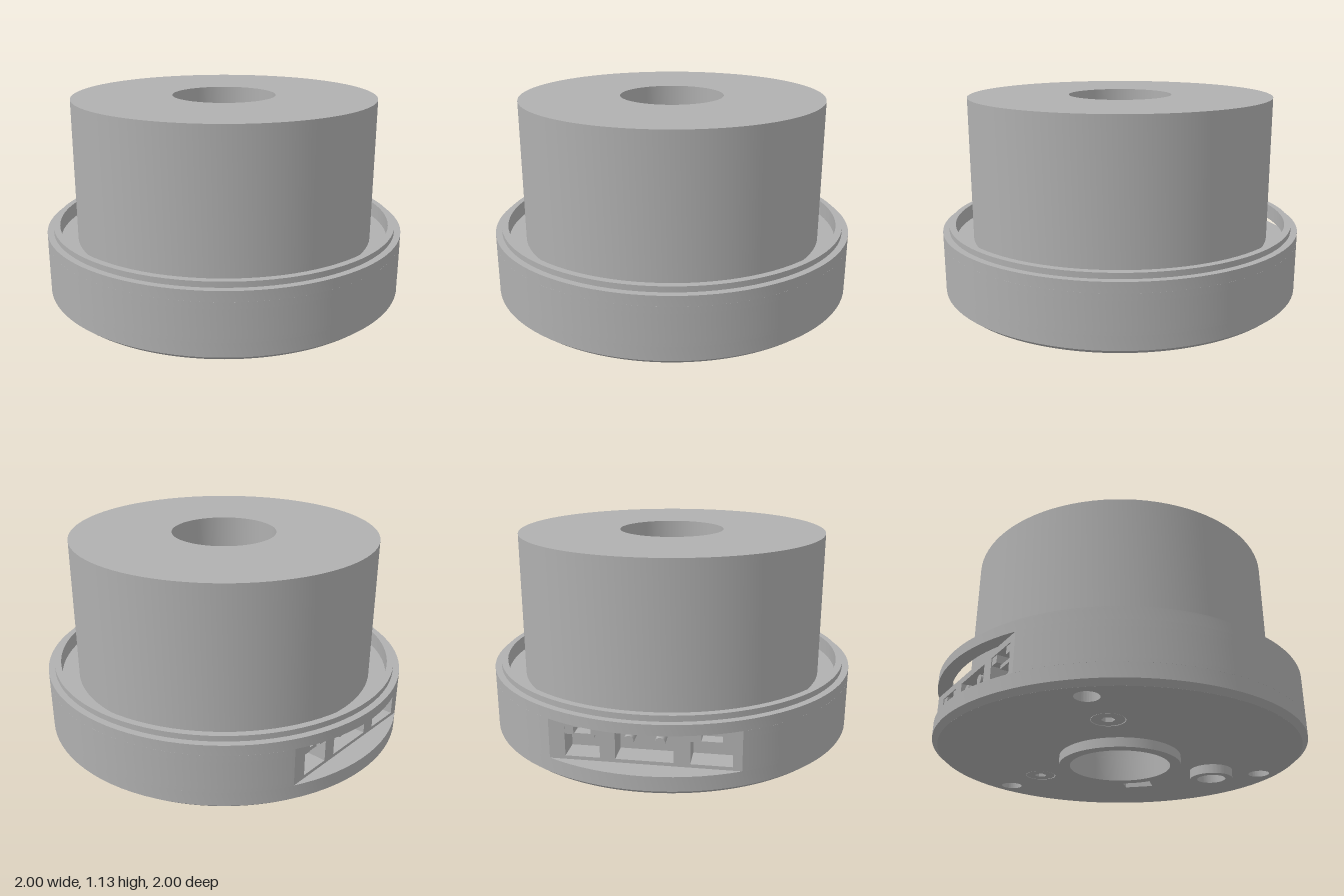
import * as THREE from 'three';
import { toCreasedNormals } from 'three/addons/utils/BufferGeometryUtils.js';

const BORE = 0.285;      // centre bore radius
const FLAT = 0.886;      // distance of the connector flat from the axis
const FLAT_TURN = 2.79;  // heading of the connector flat about y
const PORTS = [[-0.3, 0.17], [0, 0.28], [0.32, 0.2]]; // [position along flat, width]

export function createModel() {
  const model = new THREE.Group();
  const grey = new THREE.MeshStandardMaterial({ color: 0xb0b0b0 });
  grey.name = 'machined grey';

  const add = (name, geometry, parent = model) => {
    const mesh = new THREE.Mesh(geometry, grey);
    mesh.name = name;
    parent.add(mesh);
    return mesh;
  };
  const lathe = (points) => toCreasedNormals(
    new THREE.LatheGeometry(points.map(([r, y]) => new THREE.Vector2(r, y)), 96), 0.4);
  // Horizontal slab from a plan shape (shape y is -z)
  const slab = (shape, y0, y1) => {
    const g = new THREE.ExtrudeGeometry(shape, { depth: y1 - y0, bevelEnabled: false, curveSegments: 96 });
    g.rotateX(-Math.PI / 2);
    g.translate(0, y0, 0);
    return toCreasedNormals(g, 0.4);
  };
  const circle = (x, z, r) => new THREE.Path().absarc(x, -z, r, 0, Math.PI * 2, false);
  const polar = (r, degrees) => {
    const a = THREE.MathUtils.degToRad(degrees);
    return [r * Math.cos(a), r * Math.sin(a)];
  };

  // Tall upper cylinder with its bore
  add('upperCylinder', lathe([
    [BORE, 0.35], [0.835, 0.35], [0.835, 1.135], [BORE, 1.135], [BORE, 0.35]]));

  // Stepped rim around the channel
  add('housingRim', lathe([
    [0.93, 0.355], [1, 0.355], [1, 0.41], [0.965, 0.41], [0.965, 0.44], [0.93, 0.44], [0.93, 0.355]]));

  // Chamfered lower edge
  add('chamferedEdge', lathe([
    [0.97, 0.05], [1, 0.075], [1, 0.15], [0.97, 0.15]]));

  // Bottom plate with mounting holes, screw holes and a slot
  const screwSpots = [30, 150, 270].map((d) => polar(0.574, d));
  const plate = new THREE.Shape().absarc(0, 0, 0.97, 0, Math.PI * 2, false);
  plate.holes.push(circle(0, 0, BORE));
  screwSpots.forEach(([x, z]) => plate.holes.push(circle(x, z, 0.086)));
  [-86, 34, 154].forEach((d) => plate.holes.push(circle(...polar(0.865, d), 0.06)));
  const [sx, sz] = polar(0.527, -24);
  const slot = [[-1, -1], [1, -1], [1, 1], [-1, 1]].map(([i, j]) =>
    new THREE.Vector2(i * 0.063, j * 0.083)
      .rotateAround(new THREE.Vector2(), THREE.MathUtils.degToRad(24))
      .add(new THREE.Vector2(sx, -sz)));
  plate.holes.push(new THREE.Path(slot));
  add('bottomPlate', slab(plate, 0.05, 0.15));

  // Housing middle, cut by a flat whose ports are open notches
  const connectorSide = new THREE.Group();
  connectorSide.name = 'connectorSide';
  connectorSide.rotation.y = FLAT_TURN;
  model.add(connectorSide);
  const half = Math.acos(FLAT);
  const flatShape = (withPorts) => {
    const s = new THREE.Shape();
    s.absarc(0, 0, 1, half, Math.PI * 2 - half, false);
    if (withPorts) {
      PORTS.forEach(([t, w]) => {
        s.lineTo(FLAT, t - w / 2);
        s.lineTo(FLAT - 0.12, t - w / 2);
        s.lineTo(FLAT - 0.12, t + w / 2);
        s.lineTo(FLAT, t + w / 2);
      });
    }
    s.closePath();
    s.holes.push(circle(0, 0, BORE));
    return s;
  };
  add('housingBelowPorts', slab(flatShape(false), 0.15, 0.168), connectorSide);
  add('housingAroundPorts', slab(flatShape(true), 0.168, 0.32), connectorSide);
  add('housingAbovePorts', slab(flatShape(false), 0.32, 0.355), connectorSide);

  // Connector insides: upper corner blocks and tongues in the outer ports, pins in the middle one
  [PORTS[0], PORTS[2]].forEach(([t, w]) => {
    [-1, 1].forEach((side) => {
      add('portCorner', new THREE.BoxGeometry(0.11, 0.04, w * 0.25), connectorSide)
        .position.set(FLAT - 0.06, 0.3, -t + side * w * 0.375);
    });
    add('portTongue', new THREE.BoxGeometry(0.09, 0.02, w * 0.6), connectorSide)
      .position.set(FLAT - 0.075, 0.265, -t);
  });
  [-0.075, 0.075].forEach((t) => {
    const pin = add('powerPin', new THREE.CylinderGeometry(0.025, 0.025, 0.11, 20), connectorSide);
    pin.rotation.z = Math.PI / 2;
    pin.position.set(FLAT - 0.06, 0.265, -t);
  });

  // Centre collar under the bore
  add('centreCollar', lathe([
    [0.272, 0], [0.33, 0], [0.33, 0.05], [BORE, 0.05], [BORE, 0.13], [0.272, 0.13], [0.272, 0]]));

  // Flush screw heads with hexagonal sockets
  screwSpots.forEach(([x, z]) => {
    const head = new THREE.Shape().absarc(0, 0, 0.082, 0, Math.PI * 2, false);
    head.holes.push(new THREE.Path(Array.from({ length: 6 }, (_, i) =>
      new THREE.Vector2(...polar(0.034, i * 60)))));
    add('screwHead', slab(head, 0.051, 0.15)).position.set(x, 0, z);
  });

  // Raised collar around one screw
  const collar = add('screwCollar', lathe([
    [0.08, 0], [0.12, 0], [0.12, 0.05], [0.08, 0.05], [0.08, 0]]));
  collar.position.set(screwSpots[0][0], 0, screwSpots[0][1]);

  return model;
}
